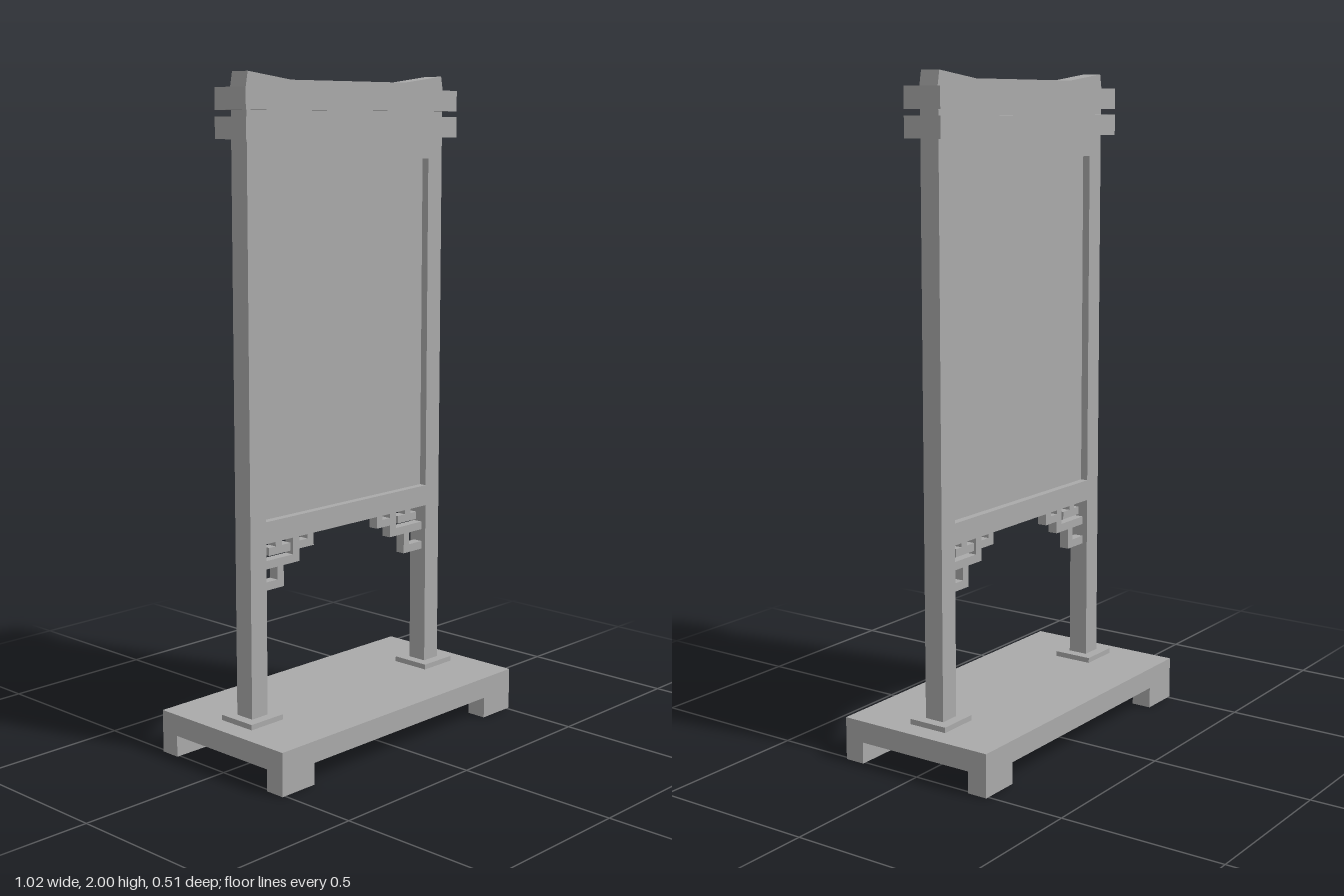
import * as THREE from 'three';

export function createModel() {
  const model = new THREE.Group();
  model.name = 'standingSignBoard';
  const grey = new THREE.MeshStandardMaterial({ color: 0xaaaaaa });
  grey.name = 'plain grey';

  // Box given by its x and y limits and half depth, centred on z
  function slab(name, x0, x1, y0, y1, halfDepth, parent = model) {
    const mesh = new THREE.Mesh(new THREE.BoxGeometry(x1 - x0, y1 - y0, halfDepth * 2), grey);
    mesh.position.set((x0 + x1) / 2, (y0 + y1) / 2, 0);
    mesh.name = name;
    parent.add(mesh);
    return mesh;
  }
  // The same box on the left or right side
  function sideSlab(side, name, x0, x1, y0, y1, halfDepth, parent) {
    return slab(name, Math.min(side * x0, side * x1), Math.max(side * x0, side * x1), y0, y1, halfDepth, parent);
  }

  // Base with four corner feet
  slab('basePlate', -0.51, 0.51, 0.065, 0.13, 0.255);
  for (const side of [-1, 1]) {
    for (const end of [-1, 1]) {
      sideSlab(side, 'foot', 0.383, 0.51, 0, 0.065, 0.0315).position.z = end * 0.2235;
    }
  }

  // Fretwork bars of one corner bracket: x0, x1, y0, y1
  const fretBars = [
    [0.272, 0.298, 0.641, 0.66], [0.237, 0.325, 0.617, 0.641], // hanging T
    [0.14, 0.166, 0.617, 0.66], [0.166, 0.2, 0.617, 0.641], // inner hook
    [0.2, 0.228, 0.604, 0.66], [0.2, 0.353, 0.579, 0.604], // upper step
    [0.266, 0.292, 0.54, 0.579], [0.266, 0.353, 0.515, 0.54], // lower step
  ];

  for (const side of [-1, 1]) {
    const label = side > 0 ? 'left' : 'right';
    sideSlab(side, label + 'PostPad', 0.319, 0.446, 0.13, 0.146, 0.063);
    sideSlab(side, label + 'Post', 0.351, 0.414, 0.146, 1.815, 0.0315);
    const bracket = new THREE.Group();
    bracket.name = label + 'FretBracket';
    for (const bar of fretBars) sideSlab(side, 'fretBar', ...bar, 0.0155, bracket);
    model.add(bracket);
  }

  // Rails and recessed board
  slab('bottomRail', -0.351, 0.351, 0.66, 0.725, 0.0315);
  slab('topRail', -0.351, 0.351, 1.752, 1.815, 0.0315);
  slab('board', -0.351, 0.351, 0.725, 1.752, 0.008);

  // Cornice beams with a narrow neck between them
  slab('lowerBeam', -0.446, 0.446, 1.815, 1.877, 0.063);
  slab('beamNeck', -0.414, 0.414, 1.877, 1.895, 0.0315);
  slab('upperBeam', -0.446, 0.446, 1.895, 1.957, 0.063);

  // Crown with upswept ends
  const outline = new THREE.Shape([
    [-0.416, 1.957], [0.416, 1.957], [0.408, 2], [0.24, 1.979], [-0.24, 1.979], [-0.408, 2],
  ].map(([x, y]) => new THREE.Vector2(x, y)));
  const crown = new THREE.Mesh(new THREE.ExtrudeGeometry(outline, { depth: 0.063, bevelEnabled: false }), grey);
  crown.position.z = -0.0315;
  crown.name = 'crown';
  model.add(crown);

  return model;
}
